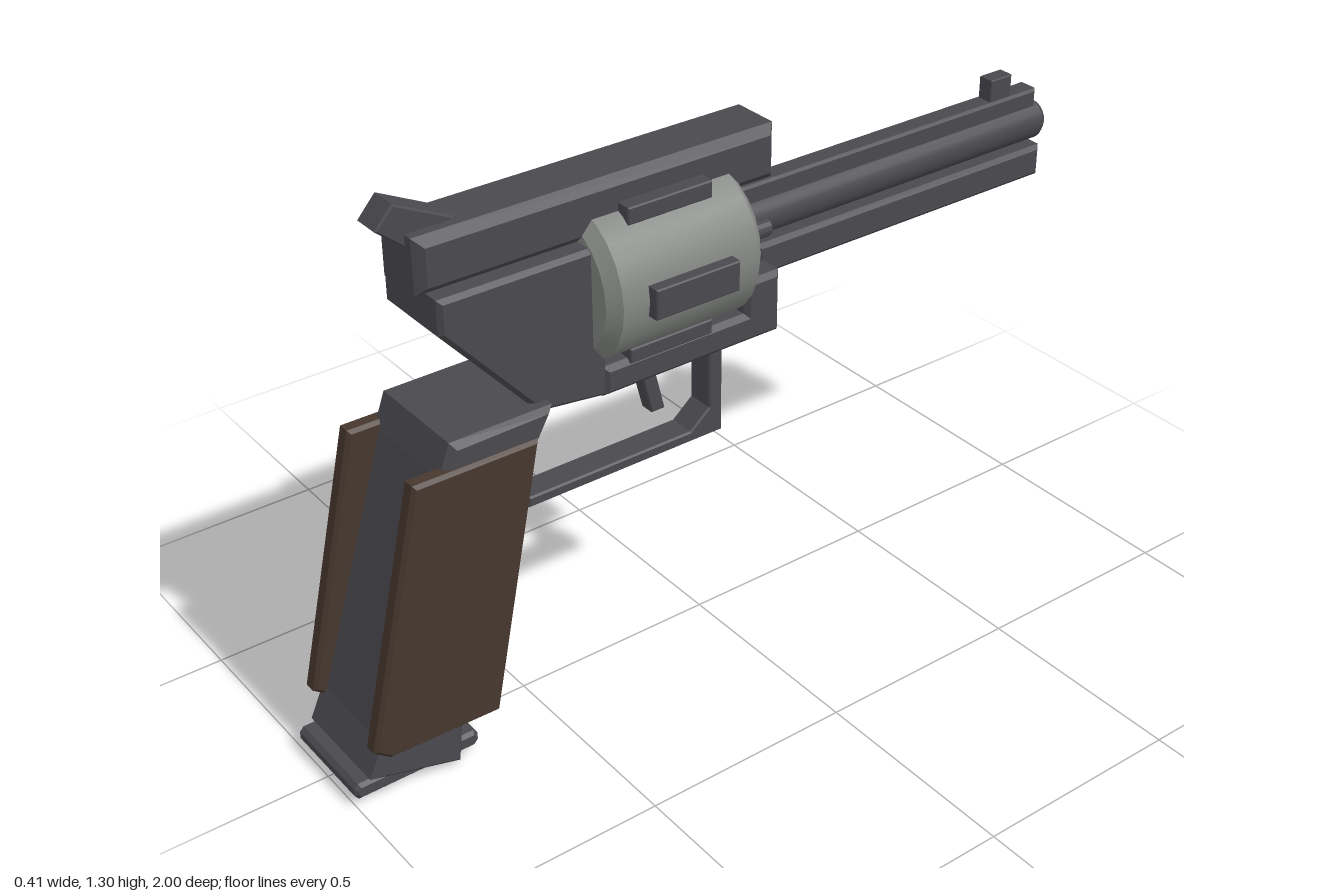
import * as THREE from 'three';
import { toCreasedNormals } from 'three/addons/utils/BufferGeometryUtils.js';

const steel = new THREE.MeshStandardMaterial({ color: 0x4a494e });
steel.name = 'dark steel';
const silver = new THREE.MeshStandardMaterial({ color: 0x848784 });
silver.name = 'drum grey';
const wood = new THREE.MeshStandardMaterial({ color: 0x47372e });
wood.name = 'brown wood';

export function createModel() {
  const model = new THREE.Group();
  model.name = 'toyRevolver';

  function add(name, geometry, material) {
    const mesh = new THREE.Mesh(geometry, material);
    mesh.name = name;
    model.add(mesh);
    return mesh;
  }

  // Side profile given as [z, y], extruded to a width along x with chamfered edges
  function slab(name, profile, width, bevel = 0.012, x = 0, material = steel) {
    const shape = new THREE.Shape(profile.map(([z, y]) => new THREE.Vector2(z, y)));
    const geometry = new THREE.ExtrudeGeometry(shape, {
      depth: width - 2 * bevel, bevelEnabled: bevel > 0, bevelSize: bevel,
      bevelThickness: bevel, bevelOffset: -bevel, bevelSegments: 1,
    });
    geometry.translate(0, 0, bevel - width / 2);
    geometry.rotateY(-Math.PI / 2);
    geometry.translate(x, 0, 0);
    return add(name, geometry, material);
  }

  const rect = (z0, z1, y0, y1) => [[z0, y0], [z1, y0], [z1, y1], [z0, y1]];

  // Turned part along z, profile given as [radius, z] from low z to high z
  function turned(name, profile, sides, x, y, material) {
    const geometry = new THREE.LatheGeometry(profile.map(([r, z]) => new THREE.Vector2(r, z)), sides);
    geometry.rotateX(Math.PI / 2);
    geometry.translate(x, y, 0);
    return add(name, toCreasedNormals(geometry, 0.5), material);
  }

  // Frame
  slab('topStrap', rect(-0.15, 0.735, 1.108, 1.235), 0.152, 0.02);
  slab('rearFrame', [[0.32, 0.755], [0.475, 0.775], [0.51, 0.8], [0.712, 1.03],
    [0.712, 1.11], [0.32, 1.11]], 0.212, 0.01);
  slab('lowerFrame', [[-0.14, 0.755], [0.33, 0.755], [0.33, 0.825], [-0.045, 0.825],
    [-0.045, 0.905], [-0.14, 0.905]], 0.22, 0.012);
  slab('hammer', [[0.62, 1.19], [0.735, 1.205], [0.797, 1.258], [0.755, 1.305], [0.62, 1.238]], 0.07, 0.004);

  // Drum with six raised lugs
  turned('drum', [[0, -0.045], [0.155, -0.045], [0.182, -0.02], [0.182, 0.33],
    [0.155, 0.355], [0, 0.355]], 24, 0, 0.995, silver);
  for (const side of [-1, 1]) {
    slab('sideLug', rect(0.05, 0.265, 0.96, 1.03), 0.04, 0.003, side * 0.186);
    slab('upperLug', rect(0.05, 0.265, 1.138, 1.178), 0.07, 0.003, side * 0.085 - 0.008);
    slab('lowerLug', rect(0.05, 0.265, 0.815, 0.85), 0.07, 0.003, side * 0.085 - 0.008);
    turned('frontPin', [[0, -0.13], [0.02, -0.13], [0.02, -0.04]], 12, side * 0.07, 0.998, steel);
  }

  // Barrel assembly
  turned('barrel', [[0, -1], [0.04, -1], [0.05, -0.985], [0.05, -0.02], [0, -0.02]], 20, 0, 0.998, steel);
  slab('barrelRib', rect(-0.978, -0.045, 1.03, 1.082), 0.055, 0.006);
  slab('underBarrel', rect(-0.985, -0.125, 0.865, 0.943), 0.1, 0.01);
  slab('frontSight', rect(-0.9, -0.835, 1.075, 1.135), 0.04, 0.002);

  // Trigger and guard
  slab('trigger', [[0.15, 0.77], [0.11, 0.605], [0.145, 0.605], [0.187, 0.77]], 0.04, 0.003);
  slab('triggerGuard', [[-0.038, 0.77], [-0.038, 0.5], [0.483, 0.5], [0.483, 0.526],
    [0.05, 0.526], [-0.002, 0.57], [-0.002, 0.77]], 0.07, 0.004);

  // Grip core, wooden side panels and base plate
  slab('gripCore', [[0.722, 0.805], [0.475, 0.805], [0.54, 0.68], [0.64, 0.45], [0.735, 0.11],
    [0.747, 0.003], [0.965, 0.062], [0.93, 0.14], [0.75, 0.73]], 0.282, 0.015);
  for (const side of [-1, 1]) {
    slab('gripPanel', [[0.82, 0.75], [0.522, 0.748], [0.652, 0.107], [0.92, 0.112], [0.96, 0.142]],
      0.042, 0.008, side * 0.129, wood);
  }
  slab('basePlate', [[0.705, 0.018], [0.99, 0.018], [1, 0.03], [1, 0.047], [0.99, 0.058],
    [0.705, 0.058], [0.695, 0.047], [0.695, 0.03]], 0.25, 0.008);

  return model;
}
